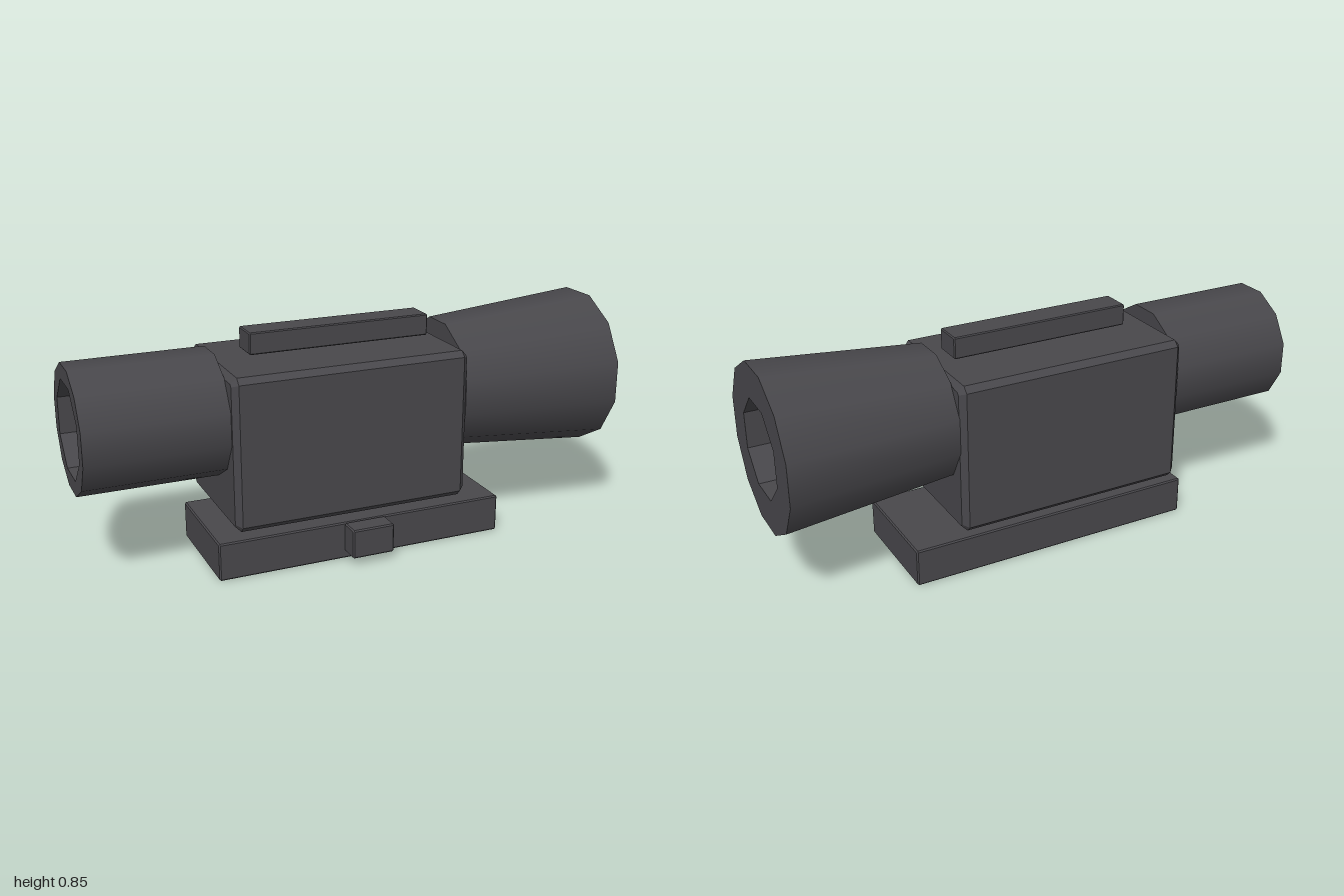
import * as THREE from 'three';

const AXIS_Y = 0.557;   // height of the optical axis
const BORE = 0.174;     // corner radius of the octagonal bore

// Regular polygon with flats at top, bottom and sides
function polygon(sides, r, Type = THREE.Path) {
  const pts = [];
  for (let i = 0; i < sides; i++) {
    const a = (i + 0.5) / sides * Math.PI * 2;
    pts.push(new THREE.Vector2(Math.cos(a) * r, Math.sin(a) * r));
  }
  return new Type(pts);
}

// Box with all edges chamfered, optionally pierced along x by an octagon
function chamferBox(x0, x1, y0, y1, z0, z1, c, hole) {
  const w = (z1 - z0) / 2, h = (y1 - y0) / 2, cy = (y0 + y1) / 2;
  const shape = new THREE.Shape([
    [w - c, -h], [w, -h + c], [w, h - c], [w - c, h],
    [-w + c, h], [-w, h - c], [-w, -h + c], [-w + c, -h],
  ].map(([x, y]) => new THREE.Vector2(x, y)));
  if (hole) {
    const pts = polygon(8, hole).getPoints().map(p => new THREE.Vector2(p.x, p.y + AXIS_Y - cy));
    shape.holes.push(new THREE.Path(pts));
  }
  const geo = new THREE.ExtrudeGeometry(shape, {
    depth: x1 - x0 - 2 * c, bevelEnabled: true, bevelThickness: c,
    bevelSize: c, bevelOffset: -c, bevelSegments: 1,
  });
  geo.translate(0, 0, c);
  geo.rotateY(Math.PI / 2);
  geo.translate(x0, cy, (z0 + z1) / 2);
  return geo;
}

export function createModel() {
  const group = new THREE.Group();
  const gunmetal = new THREE.MeshStandardMaterial({ color: 0x48474b });
  gunmetal.name = 'gunmetal';

  const add = (name, geo, parent = group) => {
    const mesh = new THREE.Mesh(geo, gunmetal);
    mesh.name = name;
    parent.add(mesh);
    return mesh;
  };

  // Twelve-sided barrel along x with ring faces at both ends
  const barrel = (name, x0, x1, r0, r1) => {
    const part = new THREE.Group();
    part.name = name;
    part.position.y = AXIS_Y;
    const wall = new THREE.CylinderGeometry(r1, r0, x1 - x0, 12, 1, true, Math.PI / 12);
    wall.rotateZ(-Math.PI / 2);
    wall.translate((x0 + x1) / 2, 0, 0);
    add(name + 'Wall', wall, part);
    for (const [x, r, dir] of [[x0, r0, -1], [x1, r1, 1]]) {
      const ring = polygon(12, r, THREE.Shape);
      ring.holes.push(polygon(8, BORE));
      const face = new THREE.ShapeGeometry(ring);
      face.rotateY(dir * Math.PI / 2);
      face.translate(x, 0, 0);
      add(name + 'Ring', face, part);
    }
    group.add(part);
  };
  barrel('eyepiece', -1, -0.499, 0.228, 0.228);
  barrel('objective', 0.384, 1, 0.243, 0.299);

  // Octagonal bore running right through, facing inwards
  const bore = new THREE.CylinderGeometry(BORE, BORE, 2, 8, 1, true, Math.PI / 8).toNonIndexed();
  bore.scale(-1, 1, 1);
  bore.rotateZ(-Math.PI / 2);
  bore.computeVertexNormals();
  add('bore', bore).position.y = AXIS_Y;

  // Housing, top rail, mounting base and side lever
  add('housing', chamferBox(-0.5, 0.385, 0.185, 0.738, -0.25, 0.25, 0.021, 0.19));
  add('topRail', chamferBox(-0.372, 0.314, 0.757, 0.836, -0.055, 0.055, 0.004));
  add('base', chamferBox(-0.555, 0.55, 0, 0.14, -0.208, 0.208, 0.005));
  add('lever', chamferBox(-0.083, 0.078, 0.031, 0.14, 0.209, 0.289, 0.005));

  return group;
}
